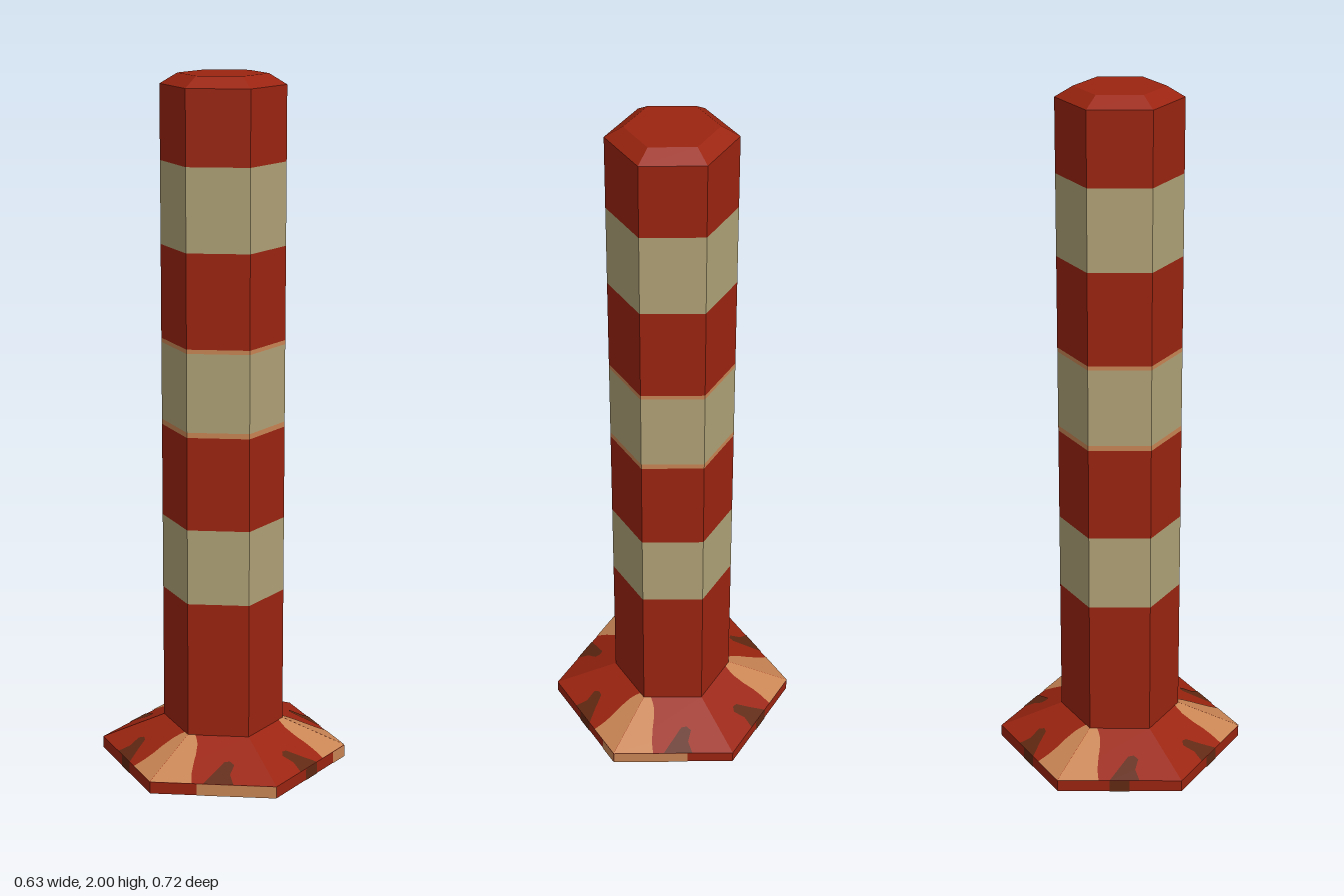
import * as THREE from 'three';

const material = (name, color) => {
  const m = new THREE.MeshStandardMaterial({ color });
  m.name = name;
  return m;
};

// Hexagonal ring or plug with hard facets and corners on the z axis
function hexSection(rTop, rBottom, y0, y1, open) {
  const g = new THREE.CylinderGeometry(rTop, rBottom, y1 - y0, 6, 1, open).toNonIndexed();
  g.translate(0, (y0 + y1) / 2, 0);
  g.computeVertexNormals();
  return g;
}

// Point on a hexagon corner at a given radius and height
const corner = (i, r, y) =>
  new THREE.Vector3(r * Math.sin(i * Math.PI / 3), y, r * Math.cos(i * Math.PI / 3));

// Flat patch laid on one sloped or upright side; outline is in (along, up) fractions
function sidePatch(face, flip, outline, low, high) {
  const shape = new THREE.Shape(outline.map(([s, t]) => new THREE.Vector2(flip ? 1 - s : s, t)));
  const g = new THREE.ShapeGeometry(shape).toNonIndexed();
  const [a, b] = [corner(face, ...low), corner(face + 1, ...low)];
  const [c, d] = [corner(face, ...high), corner(face + 1, ...high)];
  const normal = b.clone().sub(a).cross(c.clone().sub(a)).normalize();
  const p = g.attributes.position;
  for (let i = 0; i < p.count; i++) {
    const s = p.getX(i), t = p.getY(i);
    const v = a.clone().lerp(b, s).lerp(c.clone().lerp(d, s), t).addScaledVector(normal, 0.0015);
    p.setXYZ(i, v.x, v.y, v.z);
  }
  g.computeVertexNormals();
  return g;
}

export function createModel() {
  const group = new THREE.Group();
  group.name = 'bollard';
  const red = material('red', 0x9b2410);
  const cream = material('cream', 0xb0a277);
  const tan = material('tan', 0xc98554);
  const brown = material('brown', 0x612812);
  const add = (name, geometry, mat) => {
    const mesh = new THREE.Mesh(geometry, mat);
    mesh.name = name;
    group.add(mesh);
  };

  const R = 0.176, BASE = 0.36, RIM = 0.035, SKIRT = 0.115;

  // Foot
  add('baseRim', hexSection(BASE, BASE, 0, RIM, false), red);
  add('baseSkirt', hexSection(R, BASE, RIM, SKIRT, true), red);

  // Post, stacked in colour bands from the bottom up
  const bands = [
    [0.515, red], [0.735, cream], [1.005, red], [1.02, tan], [1.245, cream],
    [1.257, tan], [1.525, red], [1.76, cream], [1.97, red],
  ];
  let y = SKIRT;
  for (const [top, mat] of bands) {
    add(mat.name + 'Band', hexSection(R, R, y, top, true), mat);
    y = top;
  }
  add('cap', hexSection(0.126, R, 1.97, 2, false), red);

  // Worn patches: tan at every second corner, a brown spot along each side
  const wornCorner = [[0, 0], [0.33, 0], [0.3, 0.2], [0.28, 0.38], [0.27, 0.57],
    [0.23, 0.8], [0.18, 0.91], [0.12, 1], [0, 1]];
  const spot = [[0.42, 0], [0.66, 0], [0.64, 0.2], [0.69, 0.4], [0.65, 0.47], [0.59, 0.45], [0.5, 0.23]];
  const strip = (s0, s1) => [[s0, 0], [s1, 0], [s1, 1], [s0, 1]];
  const rimTan = { 0: [0.37, 1], 1: [0, 0.18], 2: [0, 0.62] };
  for (let face = 0; face < 6; face++) {
    const flip = face % 2 === 1;
    const skirt = [[BASE, RIM], [R, SKIRT]];
    const rim = [[BASE, 0], [BASE, RIM]];
    add('wornCorner', sidePatch(face, flip, wornCorner, ...skirt), tan);
    add('skirtSpot', sidePatch(face, flip, spot, ...skirt), brown);
    if (rimTan[face]) add('rimWear', sidePatch(face, flip, strip(...rimTan[face]), ...rim), tan);
    if (face !== 0 && face !== 2) add('rimSpot', sidePatch(face, flip, strip(0.42, 0.58), ...rim), brown);
  }
  return group;
}
